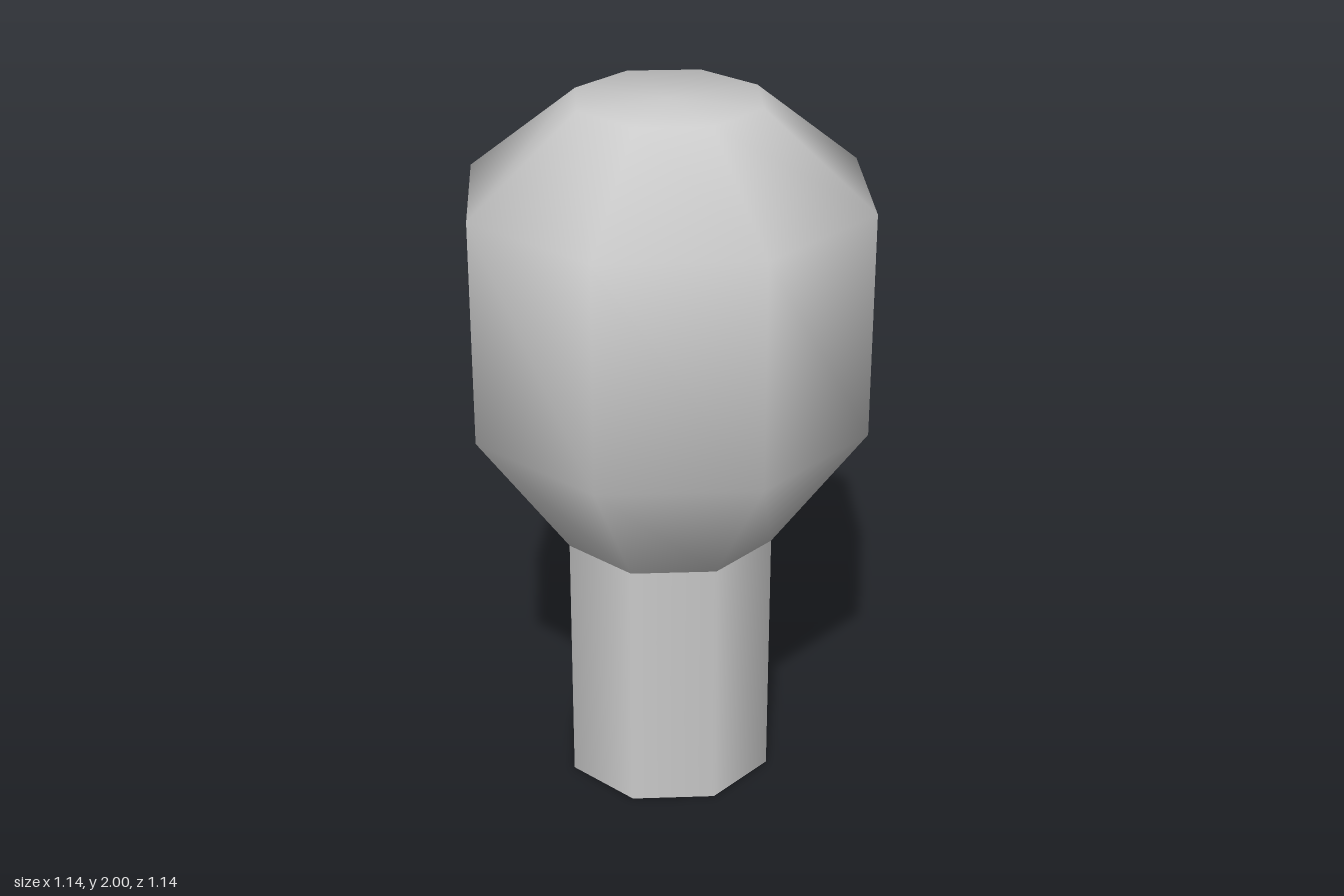
import * as THREE from 'three';

const SIDES = 8;

// Smooth-shaded eight-sided turned part from a [radius, height] profile, bottom to top
function turned(name, profile, material) {
  const points = profile.map(([r, y]) => new THREE.Vector2(r, y));
  const mesh = new THREE.Mesh(new THREE.LatheGeometry(points, SIDES), material);
  mesh.name = name;
  return mesh;
}

export function createModel() {
  const group = new THREE.Group();
  group.name = 'bulb';
  const material = new THREE.MeshStandardMaterial({ color: 0xcccccc, side: THREE.DoubleSide });

  // Open tubular base
  group.add(turned('base', [[0.305, 0], [0.305, 0.745]], material));

  // Rounded head: flared neck, straight wall, sloped shoulder and flat top
  group.add(turned('head', [
    [0.305, 0.745], [0.57, 1.12], [0.57, 1.75], [0.26, 2], [0, 2],
  ], material));

  return group;
}
